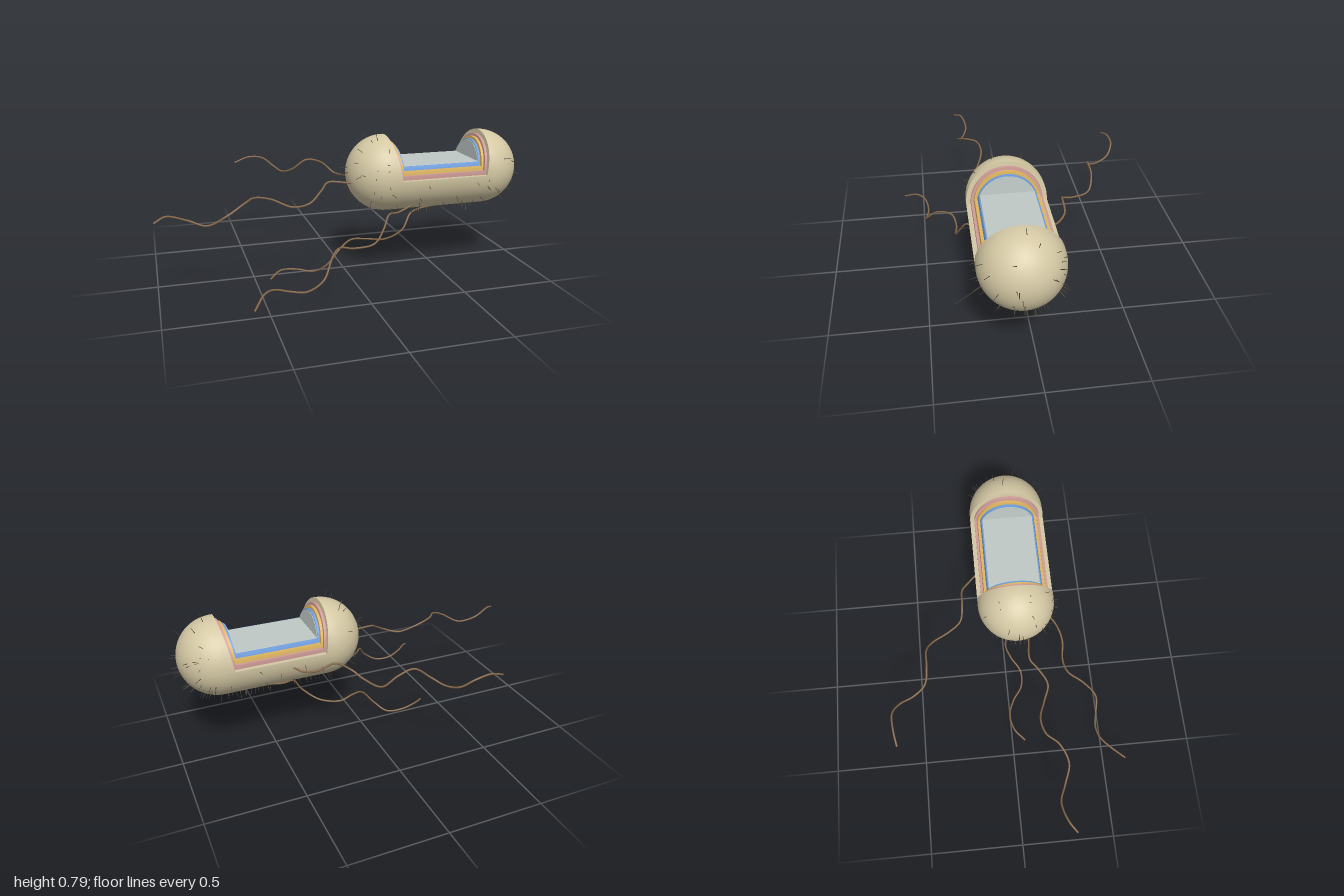
import * as THREE from 'three';
import { mergeGeometries } from 'three/addons/utils/BufferGeometryUtils.js';

const CENTRE = new THREE.Vector3(0.475, 0.5535, 0.0725);
const HALF = 0.275; // half length of the straight part of the capsule

function makeMaterial(name, color) {
  const m = new THREE.MeshStandardMaterial({ color });
  m.name = name;
  return m;
}

// Patch of capsule skin between two angles around the x axis (0 = up).
// profile(theta) returns [x, radius] points running along +x.
function skinPatch(profile, from, to, steps) {
  const pos = [], nor = [], idx = [];
  let n = 0;
  for (let i = 0; i <= steps; i++) {
    const t = from + (to - from) * i / steps, c = Math.cos(t), s = Math.sin(t);
    const pts = profile(t);
    n = pts.length;
    for (const [x, r] of pts) {
      pos.push(x, r * c, r * s);
      const v = new THREE.Vector3(x - THREE.MathUtils.clamp(x, -HALF, HALF), r * c, r * s).normalize();
      nor.push(v.x, v.y, v.z);
    }
  }
  for (let i = 0; i < steps; i++) for (let j = 0; j < n - 1; j++) {
    const a = i * n + j, b = a + n;
    idx.push(a, b, a + 1, b, b + 1, a + 1);
  }
  const g = new THREE.BufferGeometry();
  g.setAttribute('position', new THREE.Float32BufferAttribute(pos, 3));
  g.setAttribute('normal', new THREE.Float32BufferAttribute(nor, 3));
  g.setIndex(idx);
  return g;
}

// Solid capsule with a sloped notch cut out of its top
function notchedCapsule({ name, R, floor, wTop, wFloor, mat }) {
  const group = new THREE.Group();
  group.name = name;
  const a0 = Math.acos(floor / R);
  const half = y => wFloor + (wTop - wFloor) * (y - floor) / (R - floor);
  const cap = side => Array.from({ length: 17 }, (_, i) => {
    const f = i / 16 * Math.PI / 2;
    return [side * (HALF + R * Math.cos(f)), R * Math.sin(f)];
  });
  const left = cap(-1), right = cap(1).reverse();
  const skin = mergeGeometries([
    skinPatch(() => [...left, ...right], a0, 2 * Math.PI - a0, 48),
    skinPatch(t => [...left, [-half(R * Math.cos(t)), R]], -a0, a0, 40),
    skinPatch(t => [[half(R * Math.cos(t)), R], ...right], -a0, a0, 40),
  ]);

  // Flat faces of the notch: two end walls and the floor
  const tri = [];
  const rim = (side, t) => {
    const y = R * Math.cos(t);
    return [side * half(y), y, R * Math.sin(t)];
  };
  for (const side of [-1, 1]) for (let i = 0; i < 40; i++) {
    const p = rim(side, -a0 + 2 * a0 * i / 40), q = rim(side, -a0 + 2 * a0 * (i + 1) / 40);
    const c = [side * wFloor, floor, 0];
    tri.push(...c, ...(side < 0 ? [...p, ...q] : [...q, ...p]));
  }
  const z = R * Math.sin(a0), w = wFloor;
  tri.push(-w, floor, -z, -w, floor, z, w, floor, z, -w, floor, -z, w, floor, z, w, floor, -z);
  const cut = new THREE.BufferGeometry();
  cut.setAttribute('position', new THREE.Float32BufferAttribute(tri, 3));
  cut.computeVertexNormals();

  for (const [part, geo] of [['Skin', skin], ['CutFace', cut]]) {
    const mesh = new THREE.Mesh(geo, mat);
    mesh.name = name + part;
    group.add(mesh);
  }
  return group;
}

// Thin bristle between two points
function bristle(a, b, radius) {
  const d = b.clone().sub(a);
  const g = new THREE.CylinderGeometry(radius * 0.6, radius, d.length(), 5);
  g.applyQuaternion(new THREE.Quaternion().setFromUnitVectors(new THREE.Vector3(0, 1, 0), d.normalize()));
  const m = a.clone().add(b).multiplyScalar(0.5);
  return g.translate(m.x, m.y, m.z);
}

export function createModel() {
  const model = new THREE.Group();
  model.name = 'cutawayCell';
  const capsule = makeMaterial('beige capsule', 0xd4c8a4);
  const wall = makeMaterial('pink wall', 0xcf9c98);
  const space = makeMaterial('yellow layer', 0xdfb660);
  const membrane = makeMaterial('blue membrane', 0x6f9fe0);
  const plasm = makeMaterial('grey cytoplasm', 0xbfc9c5);
  const tail = makeMaterial('brown flagellum', 0x86684a);
  const hair = makeMaterial('dark bristle', 0x4a4032);

  // Nested layers, each stepping further into the opening
  const body = new THREE.Group();
  body.name = 'cellBody';
  body.position.copy(CENTRE);
  [
    { name: 'outerCapsule', R: 0.2025, floor: -0.008, wTop: 0.27, wFloor: 0.235, mat: capsule },
    { name: 'cellWall', R: 0.18, floor: 0.014, wTop: 0.252, wFloor: 0.227, mat: wall },
    { name: 'middleLayer', R: 0.166, floor: 0.035, wTop: 0.236, wFloor: 0.218, mat: space },
    { name: 'innerMembrane', R: 0.152, floor: 0.056, wTop: 0.221, wFloor: 0.210, mat: membrane },
    { name: 'cytoplasm', R: 0.147, floor: 0.058, wTop: 0.217, wFloor: 0.208, mat: plasm },
  ].forEach(layer => body.add(notchedCapsule(layer)));

  // Bristles scattered over the skin, denser underneath
  let seed = 7;
  const rand = () => (seed = (seed * 16807) % 2147483647) / 2147483647;
  const hairs = [];
  while (hairs.length < 145) {
    const x = (rand() * 2 - 1) * 0.4775;
    const t = hairs.length < 105 ? rand() * Math.PI * 2 : Math.PI + (rand() - 0.5) * 1.7;
    const over = Math.max(0, Math.abs(x) - HALF);
    const r = Math.sqrt(Math.max(0, 0.2025 ** 2 - over ** 2));
    const p = new THREE.Vector3(x, r * Math.cos(t), r * Math.sin(t));
    if (p.y > -0.03 && Math.abs(x) < 0.285) continue;
    const n = new THREE.Vector3(Math.sign(x) * over, p.y, p.z).normalize();
    n.add(new THREE.Vector3(rand() - 0.5, rand() - 0.5, rand() - 0.5).multiplyScalar(0.5)).normalize();
    hairs.push(bristle(p.clone().addScaledVector(n, -0.008), p.clone().addScaledVector(n, 0.02 + rand() * 0.025), 0.0017));
  }
  // One long bristle
  hairs.push(bristle(new THREE.Vector3(0.22, -0.13, 0.14), new THREE.Vector3(0.275, -0.196, 0.298), 0.0017));
  const bristles = new THREE.Mesh(mergeGeometries(hairs), hair);
  bristles.name = 'bristles';
  body.add(bristles);
  model.add(body);

  // Four wavy flagella, tip to root
  const paths = {
    endFlagellum: [[-0.995, 0.435, 0.26], [-0.94, 0.45, 0.222], [-0.84, 0.415, 0.2], [-0.75, 0.39, 0.233],
      [-0.655, 0.44, 0.26], [-0.56, 0.485, 0.217], [-0.505, 0.49, 0.158], [-0.42, 0.47, 0.14], [-0.315, 0.43, 0.174],
      [-0.235, 0.45, 0.2], [-0.16, 0.5, 0.153], [-0.115, 0.53, 0.115], [0, 0.52, 0.12], [0.05, 0.52, 0.11]],
    backFlagellum: [[-0.5, 0.5, -0.595], [-0.42, 0.525, -0.607], [-0.335, 0.515, -0.61], [-0.275, 0.47, -0.575],
      [-0.235, 0.45, -0.505], [-0.185, 0.475, -0.44], [-0.105, 0.53, -0.42], [-0.015, 0.51, -0.42], [0.055, 0.45, -0.39],
      [0.11, 0.455, -0.29], [0.15, 0.485, -0.23], [0.23, 0.53, -0.212], [0.32, 0.505, -0.207], [0.375, 0.49, -0.165],
      [0.415, 0.5, -0.12]],
    frontFlagellum: [[-0.59, 0.095, 0.61], [-0.53, 0.135, 0.53], [-0.475, 0.13, 0.485], [-0.4, 0.105, 0.47],
      [-0.32, 0.1, 0.485], [-0.24, 0.15, 0.49], [-0.175, 0.235, 0.415], [-0.115, 0.25, 0.34], [-0.035, 0.232, 0.32],
      [0.07, 0.25, 0.33], [0.125, 0.315, 0.308], [0.165, 0.375, 0.27], [0.24, 0.365, 0.21], [0.32, 0.39, 0.19]],
    lowerFlagellum: [[-0.42, 0.01, 0.07], [-0.355, 0.03, 0.015], [-0.265, 0.02, 0], [-0.18, 0.01, 0.03],
      [-0.115, 0.06, 0.08], [-0.045, 0.14, 0.08], [0.035, 0.172, 0.03], [0.12, 0.162, 0.01], [0.22, 0.168, 0.06],
      [0.305, 0.23, 0.105], [0.36, 0.31, 0.08], [0.43, 0.325, 0.05], [0.535, 0.345, 0.06], [0.56, 0.37, 0.07]],
  };
  for (const [name, pts] of Object.entries(paths)) {
    const curve = new THREE.CatmullRomCurve3(pts.map(p => new THREE.Vector3(...p)));
    const mesh = new THREE.Mesh(new THREE.TubeGeometry(curve, 140, 0.005, 8), tail);
    mesh.name = name;
    const tip = new THREE.Mesh(new THREE.SphereGeometry(0.005, 8, 6), tail);
    tip.name = name + 'Tip';
    tip.position.set(...pts[0]);
    model.add(mesh, tip);
  }
  return model;
}
